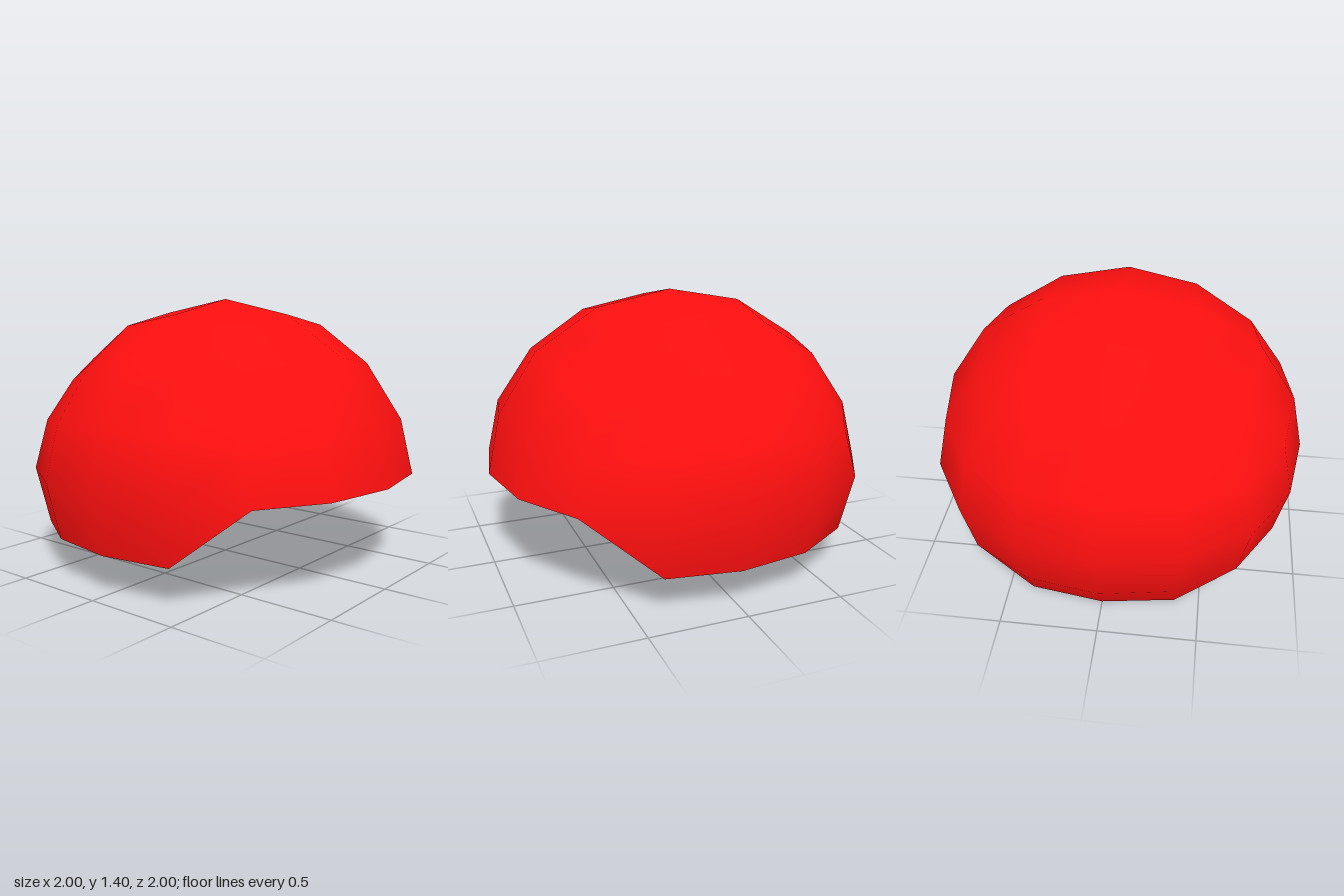
import * as THREE from 'three';
import { mergeVertices } from 'three/addons/utils/BufferGeometryUtils.js';

const THICKNESS = 0.23;

// Rounded-cube coordinates: sorted lattice key -> coordinate for lattice value 0, 1, 2
const ROUND = {
  '002': [0, 0, 1], '012': [0, 0.4, 0.93], '112': [0, 0.37, 0.87],
  '022': [0, 0, 0.73], '122': [0, 0.34, 0.68], '222': [0, 0, 0.58],
};

// Lattice point (-2..2 on each axis) to a point on the helmet
function place(p) {
  const row = ROUND[p.map(Math.abs).sort().join('')];
  const [x, h, z] = p.map((v) => Math.sign(v) * row[Math.abs(v)]);
  if (p[1] === -1) return [x, 0.2, z]; // side hem
  if (p[1] === -2) return [x * 1.1, 0, z * 1.11]; // nape hem
  return [x, 0.5 + h * (0.7 + 0.2 * h), z]; // dome
}

function indexed(positions, index) {
  const g = new THREE.BufferGeometry();
  g.setAttribute('position', new THREE.Float32BufferAttribute(positions, 3));
  g.setIndex(index);
  g.computeVertexNormals();
  return g;
}

export function createModel() {
  const box = new THREE.BoxGeometry(4, 4, 4, 4, 4, 4);
  box.deleteAttribute('normal');
  box.deleteAttribute('uv');
  const cube = mergeVertices(box);
  const pos = cube.attributes.position;
  const lattice = [];
  for (let i = 0; i < pos.count; i++) {
    lattice.push([pos.getX(i), pos.getY(i), pos.getZ(i)].map((v) => Math.round(v) || 0));
  }
  const find = (x, y, z) => lattice.findIndex((p) => p[0] === x && p[1] === y && p[2] === z);

  // Corners folded up so the hem runs diagonally at the temples and the nape
  const fold = new Map();
  for (const s of [-2, 2]) {
    fold.set(find(s, -1, 2), find(s, 0, 2));
    fold.set(find(s, -2, -2), find(s, -1, -2));
  }

  // Keep the dome, sides and nape; leave the face and the underside open
  const faces = [];
  for (let i = 0; i < cube.index.count; i += 3) {
    const ids = [0, 1, 2].map((k) => cube.index.getX(i + k));
    const c = ids.map((id) => lattice[id]);
    const low = Math.min(...c.map((p) => p[1]));
    const faceOpening = c.every((p) => p[2] === 2) && low < 0;
    const underside = c.every((p) => p[1] === -2);
    const belowEar = c.every((p) => Math.abs(p[0]) === 2) && low < -1;
    if (faceOpening || underside || belowEar) continue;
    const t = ids.map((id) => fold.get(id) ?? id);
    if (new Set(t).size === 3) faces.push(t);
  }

  const outer = indexed(lattice.flatMap(place), faces.flat());

  // Inner shell: the outer one pushed in along its normals
  const at = (attr, i) => new THREE.Vector3().fromBufferAttribute(attr, i);
  const outside = lattice.map((_, i) => at(outer.attributes.position, i));
  const inside = outside.map((p, i) => p.clone().addScaledVector(at(outer.attributes.normal, i), -THICKNESS));
  const inner = indexed(inside.flatMap((p) => p.toArray()), faces.map(([a, b, c]) => [a, c, b]).flat());

  // Rim: one flat strip per open edge
  const edges = new Map();
  for (const t of faces) t.forEach((a, k) => edges.set(`${a},${t[(k + 1) % 3]}`, [a, t[(k + 1) % 3]]));
  const rimPoints = [];
  for (const [a, b] of edges.values()) {
    if (edges.has(`${b},${a}`)) continue;
    for (const p of [outside[b], outside[a], inside[a], outside[b], inside[a], inside[b]]) rimPoints.push(...p.toArray());
  }
  const rim = new THREE.BufferGeometry();
  rim.setAttribute('position', new THREE.Float32BufferAttribute(rimPoints, 3));
  rim.computeVertexNormals();

  const material = new THREE.MeshStandardMaterial({ color: 0xff0f0f });
  const helmet = new THREE.Group();
  helmet.name = 'helmet';
  for (const [name, geometry] of Object.entries({ outerShell: outer, innerShell: inner, rim })) {
    const mesh = new THREE.Mesh(geometry, material);
    mesh.name = name;
    helmet.add(mesh);
  }
  return helmet;
}
